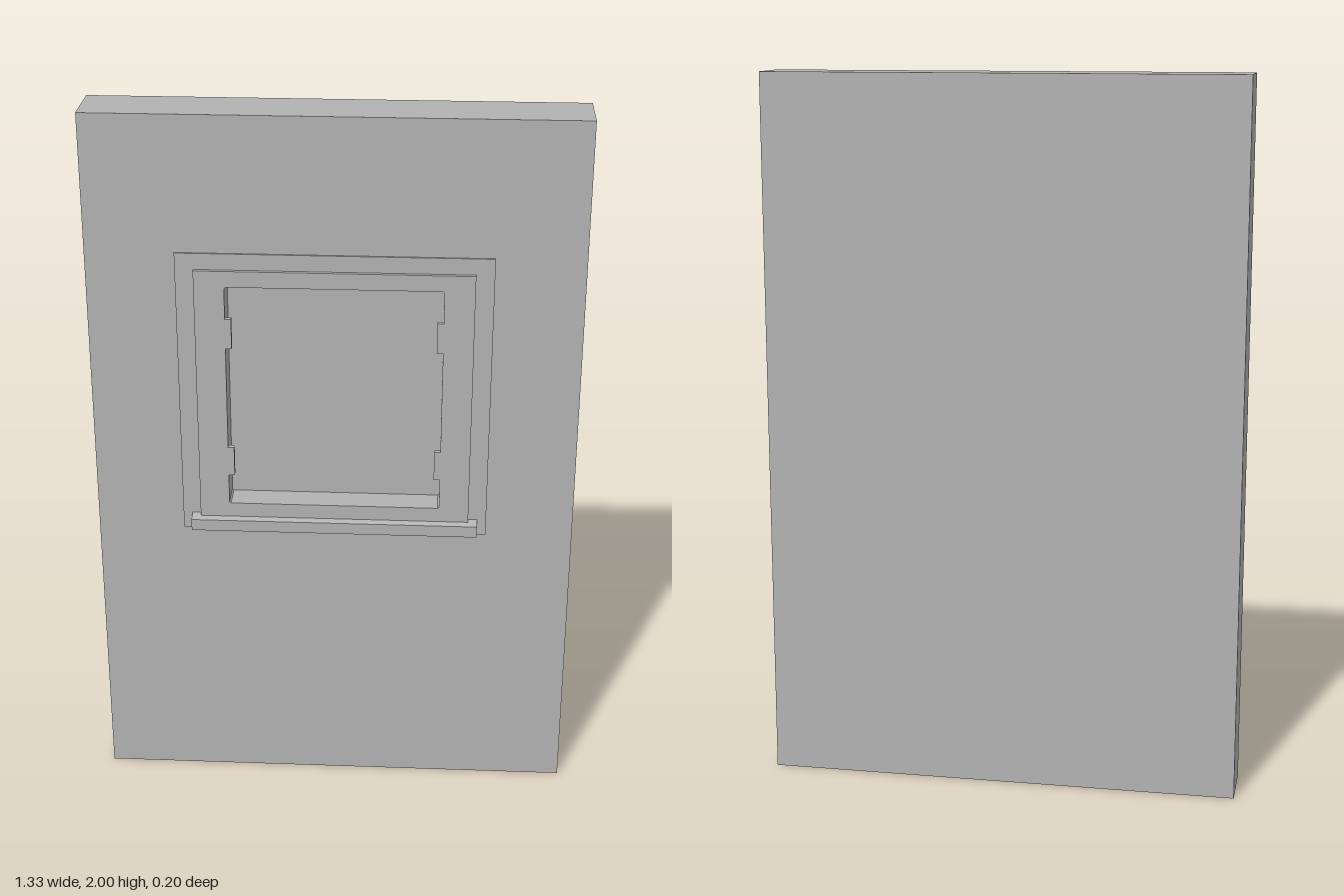
import * as THREE from 'three';

const HALF_W = 0.666, WALL_BACK = -0.1, RECESS_Z = 0, WALL_FRONT = 0.065;

// Traces a rectangle, with corners cut by c, onto a Shape or Path
function rect(path, hw, y0, y1, c = 0) {
  path.moveTo(-hw + c, y0);
  path.lineTo(hw - c, y0);
  if (c) path.lineTo(hw, y0 + c);
  path.lineTo(hw, y1 - c);
  if (c) path.lineTo(hw - c, y1);
  path.lineTo(-hw + c, y1);
  if (c) path.lineTo(-hw, y1 - c);
  path.lineTo(-hw, y0 + c);
  path.closePath();
  return path;
}

export function createModel() {
  const group = new THREE.Group();
  group.name = 'wallWithWindowNiche';
  const grey = new THREE.MeshStandardMaterial({ color: 0xb2b2b2 });
  grey.name = 'plainGrey';

  const add = (name, geometry, x = 0, y = 0, z = 0) => {
    const mesh = new THREE.Mesh(geometry, grey);
    mesh.name = name;
    mesh.position.set(x, y, z);
    group.add(mesh);
  };

  // A panel pierced by the window opening
  const pierced = (name, hw, y0, y1, z0, z1) => {
    const shape = rect(new THREE.Shape(), hw, y0, y1);
    shape.holes.push(rect(new THREE.Path(), 0.293, 0.89, 1.535, 0.004));
    add(name, new THREE.ExtrudeGeometry(shape, { depth: z1 - z0, bevelEnabled: false }), 0, 0, z0);
  };

  // Wall: solid back slab closes the niche
  add('wallBack', new THREE.BoxGeometry(HALF_W * 2, 2, RECESS_Z - WALL_BACK),
    0, 1, (RECESS_Z + WALL_BACK) / 2);
  pierced('wallFront', HALF_W, 0, 2, RECESS_Z, WALL_FRONT);

  // Thin surround and raised frame
  pierced('surroundPlate', 0.425, 0.805, 1.625, WALL_FRONT, 0.07);
  pierced('windowFrame', 0.375, 0.845, 1.58, 0.07, 0.081);

  // Sill with a slightly sloping top, extruded along x
  const sill = new THREE.Shape();
  sill.moveTo(-0.07, 0.81);
  sill.lineTo(-0.07, 0.852);
  sill.lineTo(-0.098, 0.843);
  sill.lineTo(-0.098, 0.81);
  sill.closePath();
  const sillGeometry = new THREE.ExtrudeGeometry(sill, { depth: 0.8, bevelEnabled: false });
  sillGeometry.rotateY(Math.PI / 2);
  add('sill', sillGeometry, -0.4, 0, 0);

  // Hinges on both sides of the opening
  for (const side of [-1, 1])
    for (const y of [1.022, 1.402])
      add('hinge', new THREE.BoxGeometry(0.018, 0.085, 0.014), side * 0.285, y, 0.077);

  return group;
}
